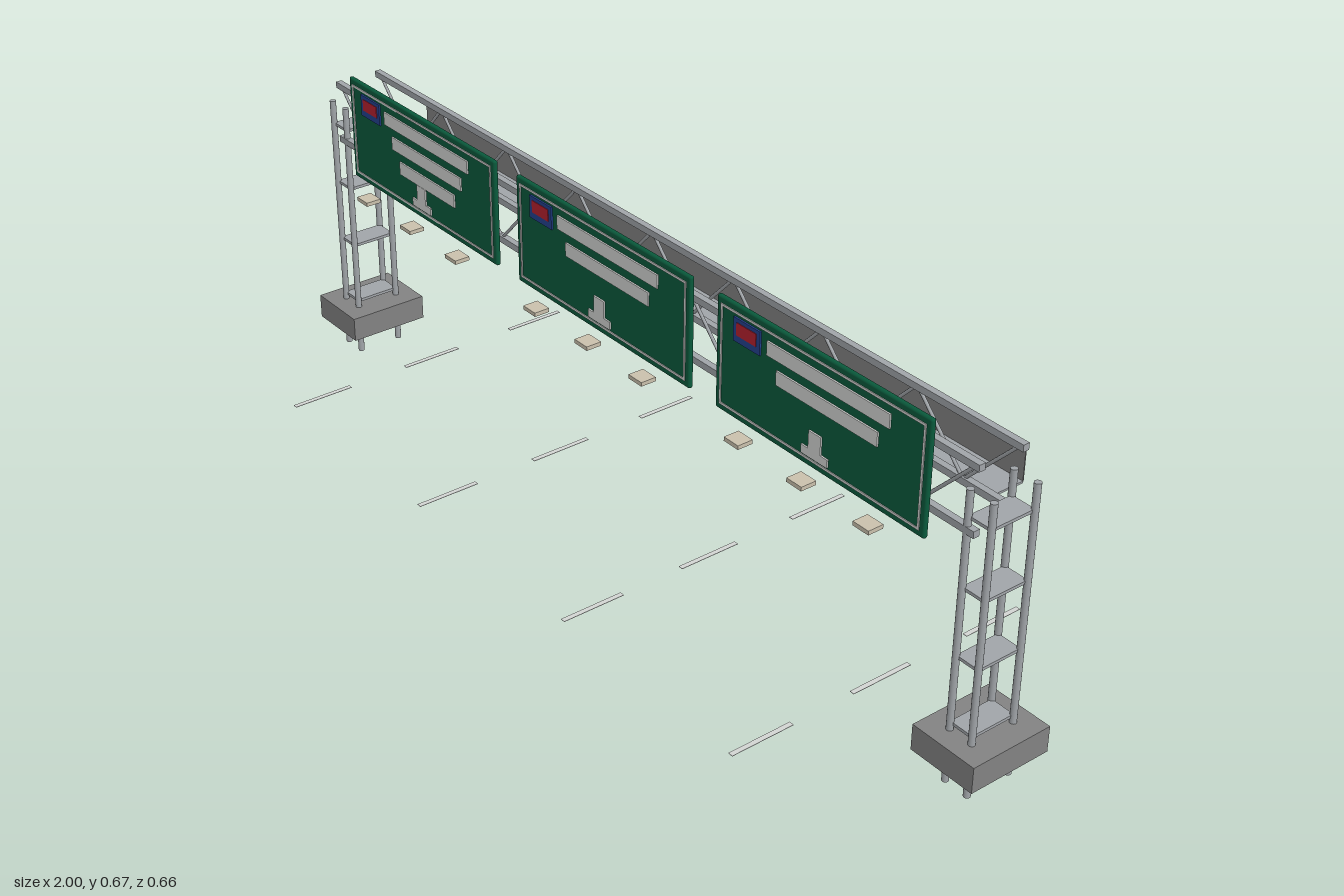
import * as THREE from 'three';
import { RoundedBoxGeometry } from 'three/addons/geometries/RoundedBoxGeometry.js';

const paint = (name, color) => {
  const m = new THREE.MeshStandardMaterial({ color });
  m.name = name;
  return m;
};

export function createModel() {
  const steel = paint('galvanised steel', 0xa0a4a8);
  const concrete = paint('concrete', 0x828282);
  const green = paint('sign green', 0x0a5a3c);
  const white = paint('reflective white', 0xd2d4d2);
  const blue = paint('badge blue', 0x24418f);
  const red = paint('badge red', 0xb5202f);
  const beige = paint('lamp beige', 0xc9c0ac);

  const model = new THREE.Group();
  model.name = 'signGantry';

  const add = (parent, name, geometry, material, x, y, z) => {
    const mesh = new THREE.Mesh(geometry, material);
    mesh.name = name;
    mesh.position.set(x, y, z);
    parent.add(mesh);
    return mesh;
  };
  const box = (parent, name, material, w, h, d, x, y, z) =>
    add(parent, name, new THREE.BoxGeometry(w, h, d), material, x, y, z);
  const group = (name, parent = model) => {
    const g = new THREE.Group();
    g.name = name;
    parent.add(g);
    return g;
  };

  // Towers: footing, four round columns and tie plates
  for (const side of [-1, 1]) {
    const tower = group(side > 0 ? 'leftTower' : 'rightTower');
    box(tower, 'footing', concrete, 0.14, 0.052, 0.173, side * 0.93, 0.081, 0);
    for (const x of [0.905, 0.955])
      for (const z of [-0.047, 0.047])
        add(tower, 'column', new THREE.CylinderGeometry(0.0065, 0.0065, 0.57, 16), steel, side * x, 0.285, z);
    for (let i = 0; i < 4; i++)
      box(tower, 'tiePlate', steel, 0.05, 0.006, 0.094, side * 0.93, 0.12 + i * 0.1327, 0);
  }

  // Truss: two faces, each with top and bottom chords and zigzag webbing
  const truss = group('truss');
  const end = 0.925, low = 0.497, high = 0.617, panels = 16;
  for (const z of [-0.047, 0.047]) {
    for (const y of [low, high])
      box(truss, 'chord', steel, end * 2, 0.013, 0.013, 0, y, z);
    const step = (end * 2 - 0.02) / panels;
    for (let i = 0; i < panels; i++) {
      const rise = (high - low) * (i % 2 ? 1 : -1);
      const brace = add(truss, 'diagonalBrace',
        new THREE.CylinderGeometry(0.0032, 0.0032, Math.hypot(step, rise), 8), steel,
        -end + 0.01 + (i + 0.5) * step, (low + high) / 2, z);
      brace.rotation.z = Math.atan2(rise, step) - Math.PI / 2;
    }
  }

  // Rear walkway with its solid guard
  const walkway = group('walkway');
  box(walkway, 'walkwayDeck', steel, 1.72, 0.004, 0.059, 0, 0.492, -0.0925);
  box(walkway, 'walkwayGuard', concrete, 1.72, 0.061, 0.002, 0, 0.5235, -0.122);

  // Thin rectangular border line
  const rectangle = (target, w, h) => {
    target.moveTo(-w / 2, -h / 2);
    target.lineTo(w / 2, -h / 2);
    target.lineTo(w / 2, h / 2);
    target.lineTo(-w / 2, h / 2);
    target.closePath();
    return target;
  };
  const borderShape = rectangle(new THREE.Shape(), 0.49, 0.194);
  borderShape.holes.push(rectangle(new THREE.Path(), 0.481, 0.185));
  const borderGeometry = new THREE.ExtrudeGeometry(borderShape, { depth: 0.002, bevelEnabled: false });

  // Sign panels with plain message bars, badge, lane arrow and lamps
  [-0.583, 0, 0.583].forEach((x, index) => {
    const sign = group('sign');
    sign.position.x = x;
    add(sign, 'signPanel', new RoundedBoxGeometry(0.513, 0.219, 0.01, 3, 0.0045), green, 0, 0.559, 0.067);
    add(sign, 'signBorder', borderGeometry, white, 0, 0.559, 0.0715);
    const bars = index === 0 ? 3 : 2;
    for (let i = 0; i < bars; i++)
      box(sign, 'messageBar', white, 0.293 - i * 0.05, 0.027, 0.004, 0.022, 0.624 - i * 0.045, 0.0732);
    box(sign, 'badge', blue, 0.068, 0.045, 0.004, -0.175, 0.624, 0.0735);
    box(sign, 'badgeCentre', red, 0.05, 0.024, 0.003, -0.175, 0.627, 0.0752);
    box(sign, 'arrowStem', white, 0.03, 0.04, 0.004, 0, 0.5, 0.0732);
    box(sign, 'arrowHead', white, 0.064, 0.016, 0.004, 0, 0.478, 0.0732);
    for (const offset of [-0.16, 0, 0.16])
      box(sign, 'signLamp', beige, 0.037, 0.008, 0.032, offset, 0.439, 0.1);
  });

  // Dashed lane lines at road level
  const lanes = group('laneMarkings');
  for (const x of [-0.695, -0.232, 0.232, 0.695])
    for (const z of [-0.266, 0, 0.266])
      box(lanes, 'laneDash', white, 0.01, 0.001, 0.132, x, 0.059, z);

  return model;
}
